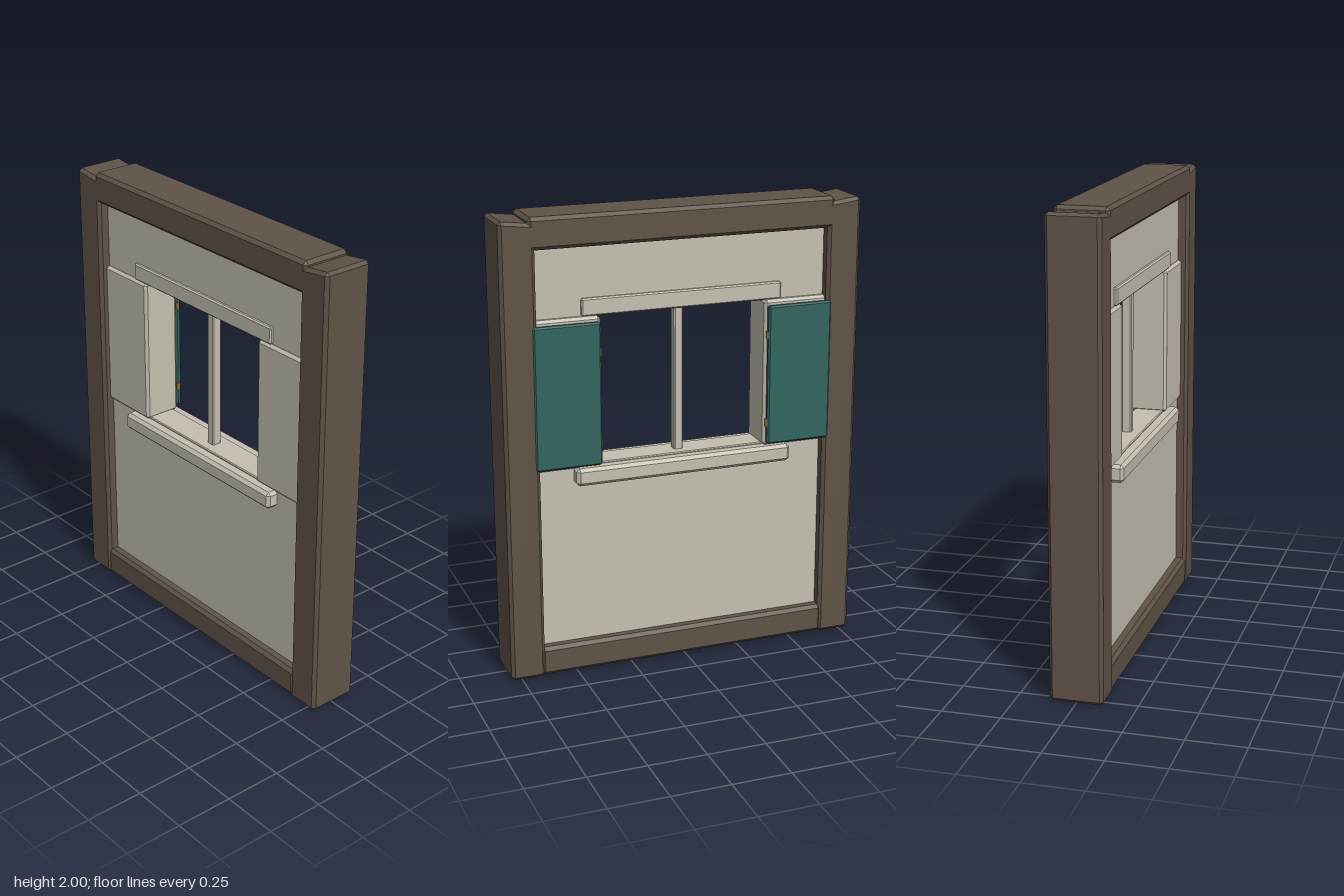
import * as THREE from 'three';
import { ConvexGeometry } from 'three/addons/geometries/ConvexGeometry.js';

const mat = (color) => new THREE.MeshStandardMaterial({ color, side: THREE.DoubleSide });

// Box with chamfered edges, given by its ranges; an optional rule moves its points
function chamferBox(name, [x0, x1], [y0, y1], [z0, z1], c, material, rule) {
  const half = [(x1 - x0) / 2, (y1 - y0) / 2, (z1 - z0) / 2];
  const mid = [(x0 + x1) / 2, (y0 + y1) / 2, (z0 + z1) / 2];
  const points = [];
  for (const sx of [-1, 1]) for (const sy of [-1, 1]) for (const sz of [-1, 1]) {
    const s = [sx, sy, sz];
    for (let face = 0; face < 3; face++) {
      const p = s.map((v, i) => mid[i] + v * (half[i] - (i === face ? 0 : c)));
      const point = new THREE.Vector3(...p);
      if (rule) rule(point);
      points.push(point);
    }
  }
  const mesh = new THREE.Mesh(new ConvexGeometry(points), material);
  mesh.name = name;
  return mesh;
}

export function createModel() {
  const model = new THREE.Group();
  model.name = 'windowWall';
  const timber = mat(0x5f5347);
  const plaster = mat(0xc4bfb1);
  const teal = mat(0x32645f);
  const brass = mat(0x8a6a3a);
  const add = (...args) => model.add(chamferBox(...args));

  // Timber frame: top and bottom beams
  const depth = [-0.113, 0.113];
  add('topBeam', [-0.675, 0.675], [1.865, 2], depth, 0.015, timber);
  add('bottomBeam', [-0.66, 0.66], [0.003, 0.13], [-0.11, 0.11], 0.015, timber);

  // Plaster panels above and below the opening
  add('upperPanel', [-0.66, 0.66], [1.565, 1.88], [-0.065, 0.065], 0.004, plaster);
  add('lowerPanel', [-0.66, 0.66], [0.11, 0.93], [-0.065, 0.065], 0.004, plaster);

  // Window trim: lintel, sill and the thicker lining of the opening
  add('lintel', [-0.445, 0.445], [1.57, 1.645], [-0.08, 0.08], 0.006, plaster);
  add('sill', [-0.487, 0.487], [0.845, 0.922], [-0.115, 0.115], 0.014, plaster);
  add('mullion', [-0.02, 0.02], [0.915, 1.57], [-0.022, 0.022], 0.005, plaster);

  for (const side of [-1, 1]) {
    const span = (a, b) => (side > 0 ? [a, b] : [-b, -a]);
    const label = side > 0 ? 'left' : 'right';

    // Post, its top sloping down toward the middle
    add(label + 'Post', span(0.645, 0.795), [0, 1.992], depth, 0.014, timber, (p) => {
      if (p.y > 1) p.y -= (0.795 - Math.abs(p.x)) * 0.12;
    });

    // Raised panel beside the opening
    add(label + 'SidePanel', span(0.367, 0.66), [0.92, 1.57], [-0.09, 0.08], 0.012, plaster);

    // Open shutter folded against the back
    add(label + 'Shutter', span(0.375, 0.665), [0.935, 1.55], [-0.119, -0.092], 0.007, teal);

    // Shutter hinges
    for (const y of [1.03, 1.42]) {
      const hinge = new THREE.Mesh(new THREE.CylinderGeometry(0.009, 0.009, 0.035, 8), brass);
      hinge.name = label + 'Hinge';
      hinge.position.set(side * 0.377, y, -0.102);
      model.add(hinge);
    }
  }
  return model;
}
